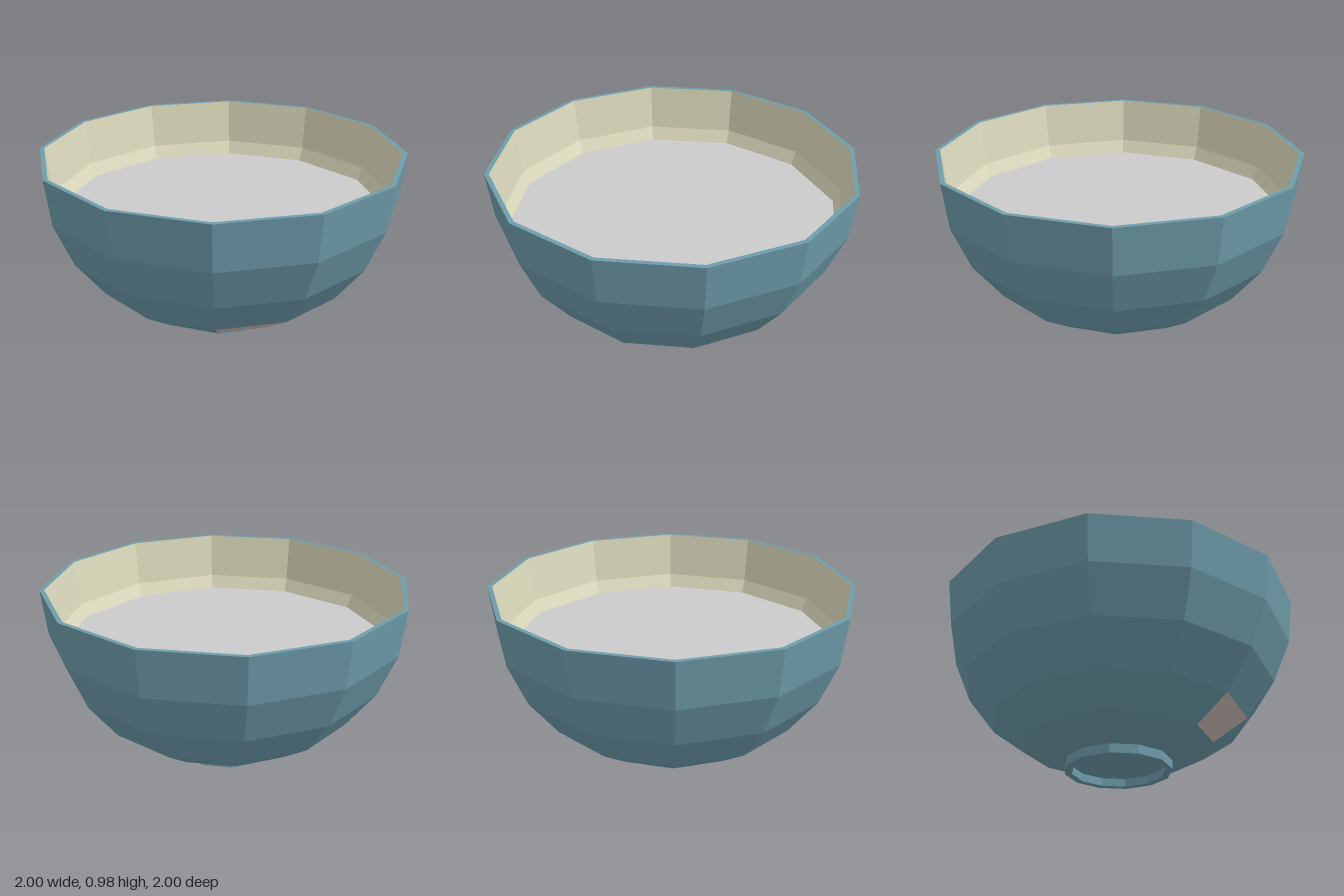
import * as THREE from 'three';

const SIDES = 12;

// Faceted surface of revolution; outline runs upward for outside, downward for inside
function turned(name, outline, color, first = 0, count = SIDES) {
  const step = (Math.PI * 2) / SIDES;
  const points = outline.map(([r, y]) => new THREE.Vector2(r, y));
  const geometry = new THREE.LatheGeometry(points, count, first * step, count * step);
  const mesh = new THREE.Mesh(geometry, new THREE.MeshStandardMaterial({ color, flatShading: true }));
  mesh.name = name;
  return mesh;
}

export function createModel() {
  const group = new THREE.Group();
  group.name = 'bowl';
  const glaze = 0x6e9cab, cream = 0xdedcbe, pale = 0xd0bfbb;

  // Foot ring with recessed underside, up to the first body facets
  group.add(turned('foot', [[0, 0.045], [0.255, 0.045], [0.255, 0], [0.295, 0], [0.295, 0.05]], glaze));
  group.add(turned('lowerBody', [[0.295, 0.05], [0.52, 0.14]], glaze));

  // Band of facets, one of them in a different colour
  const band = [[0.52, 0.14], [0.71, 0.27]];
  group.add(turned('bodyBand', band, glaze, 0, SIDES - 1));
  group.add(turned('paleFacet', band, pale, SIDES - 1, 1));

  // Upper wall and flat rim
  group.add(turned('upperBody', [[0.71, 0.27], [0.87, 0.48], [0.97, 0.72], [1, 0.975], [0.975, 0.975]], glaze));

  // Inner lining, following the outside wall down to the floor
  group.add(turned('lining', [
    [0.975, 0.975], [0.945, 0.72], [0.845, 0.49], [0.69, 0.29], [0.5, 0.165], [0.28, 0.08], [0, 0.08],
  ], cream));

  // Flat surface of the contents
  group.add(turned('contents', [[0.914, 0.645], [0, 0.645]], 0xcccccc));

  return group;
}
